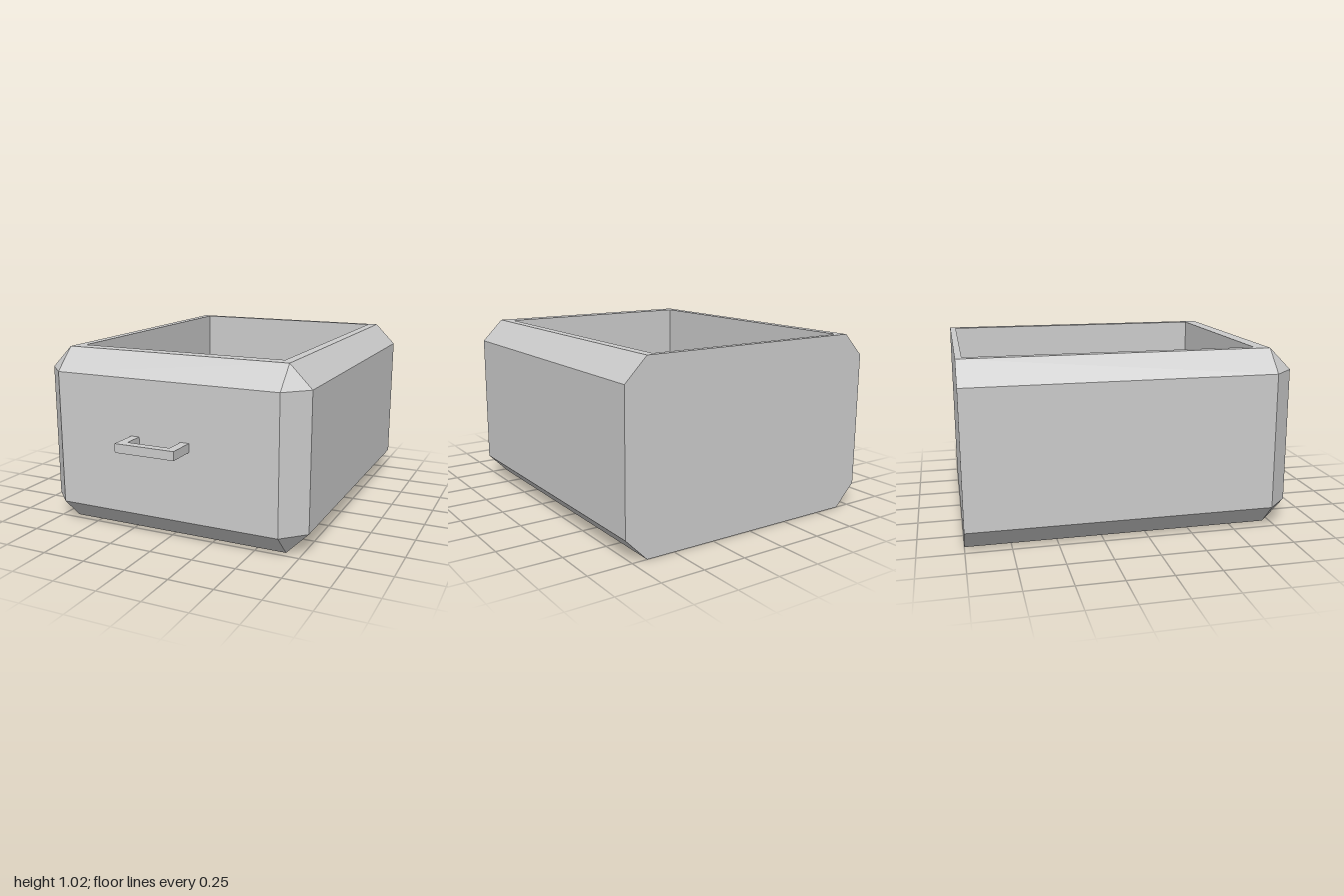
import * as THREE from 'three';

const W = 0.788, C = 0.663;            // half width, half width inside the chamfer
const H = 1.018, B = 0.126, T = 0.892; // top, chamfer heights
const BACK = -1, MID = 0.71, FRONT = 0.835;
const CAV = { x0: -0.613, x1: 0.61, z0: -0.965, z1: 0.632, floor: 0.21 };

// Flat-shaded geometry from convex polygons, corners counter-clockwise from outside
function polygons(faces) {
  const pos = [];
  for (const face of faces) {
    const f = face.filter((p, i) => p.join() !== face[(i + 1) % face.length].join());
    for (let i = 1; i < f.length - 1; i++) pos.push(...f[0], ...f[i], ...f[i + 1]);
  }
  const g = new THREE.BufferGeometry();
  g.setAttribute('position', new THREE.Float32BufferAttribute(pos, 3));
  g.computeVertexNormals();
  return g;
}

export function createModel() {
  const group = new THREE.Group();
  const mat = new THREE.MeshStandardMaterial({ color: 0xcccccc, flatShading: true });
  const add = (name, geometry, parent = group) => {
    const mesh = new THREE.Mesh(geometry, mat);
    mesh.name = name;
    parent.add(mesh);
    return mesh;
  };

  // Outer shell: octagonal section lofted to a rectangular front panel
  const octagon = [[C, 0], [W, B], [W, T], [C, H], [-C, H], [-W, T], [-W, B], [-C, 0]];
  const panel = [[C, B], [C, B], [C, T], [C, T], [-C, T], [-C, T], [-C, B], [-C, B]];
  const ring = (pts, z) => pts.map(([x, y]) => [x, y, z]);
  const back = ring(octagon, BACK), mid = ring(octagon, MID), front = ring(panel, FRONT);
  const shell = [front, [...back].reverse()];
  for (let i = 0; i < 8; i++) {
    const j = (i + 1) % 8;
    if (i !== 3) shell.push([back[i], back[j], mid[j], mid[i]]); // top is left to the rim
    shell.push([mid[i], mid[j], front[j], front[i]]);
  }
  add('drawerShell', polygons(shell));

  // Top rim around the opening
  const { x0, x1, z0, z1, floor } = CAV;
  const rect = (a, b, c, d) => [[a, c], [b, c], [b, d], [a, d]].map(([x, y]) => new THREE.Vector2(x, y));
  const rim = new THREE.Shape(rect(-C, C, -MID, -BACK));
  rim.holes.push(new THREE.Path(rect(x0, x1, -z1, -z0).reverse()));
  add('topRim', new THREE.ShapeGeometry(rim).rotateX(-Math.PI / 2).translate(0, H, 0));

  // Inside walls and floor, facing inward
  const plan = [[x0, z0], [x0, z1], [x1, z1], [x1, z0]];
  const low = plan.map(([x, z]) => [x, floor, z]);
  const high = plan.map(([x, z]) => [x, H, z]);
  const inside = [low];
  for (let i = 0; i < 4; i++) {
    const j = (i + 1) % 4;
    inside.push([low[j], low[i], high[i], high[j]]);
  }
  add('drawerInterior', polygons(inside));

  // Square-section pull handle, slightly off centre
  const handle = new THREE.Group();
  handle.name = 'handle';
  group.add(handle);
  const u = new THREE.Shape([
    [-0.198, -FRONT], [-0.198, -1], [0.155, -1], [0.155, -FRONT],
    [0.105, -FRONT], [0.105, -0.952], [-0.148, -0.952], [-0.148, -FRONT],
  ].map(([x, y]) => new THREE.Vector2(x, y)));
  const bar = new THREE.ExtrudeGeometry(u, { depth: 0.05, bevelEnabled: false });
  add('handleBar', bar.rotateX(-Math.PI / 2).translate(0, 0.523, 0), handle);

  return group;
}
